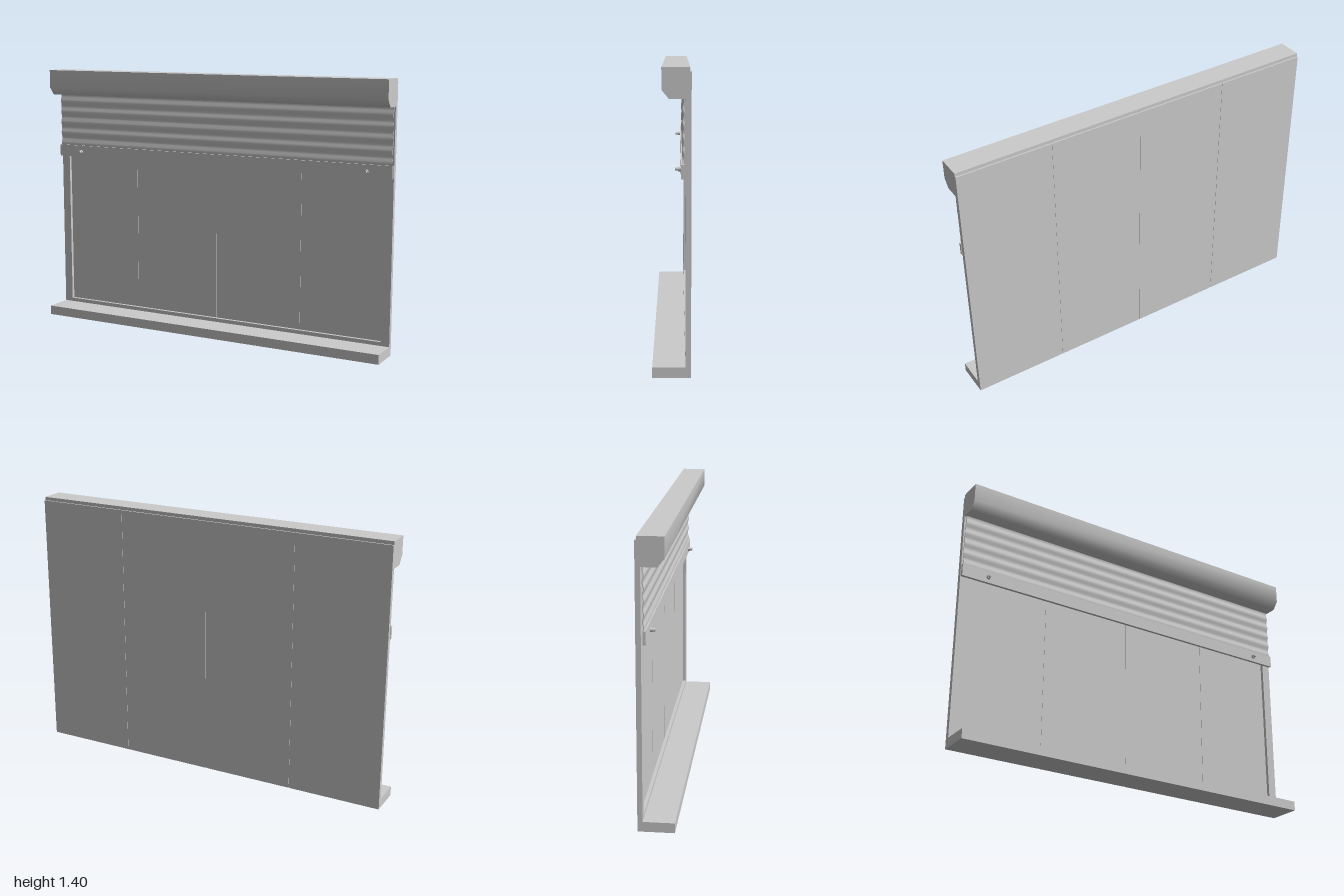
import * as THREE from 'three';
import { toCreasedNormals } from 'three/addons/utils/BufferGeometryUtils.js';

const material = new THREE.MeshStandardMaterial({ color: 0xcccccc });

export function createModel() {
  const model = new THREE.Group();
  model.name = 'shutteredWindow';

  const add = (name, geometry) => {
    const mesh = new THREE.Mesh(geometry, material);
    mesh.name = name;
    model.add(mesh);
    return mesh;
  };

  // Box given by its limits on each axis
  const box = (name, x0, x1, y0, y1, z0, z1) => {
    const mesh = add(name, new THREE.BoxGeometry(x1 - x0, y1 - y0, z1 - z0));
    mesh.position.set((x0 + x1) / 2, (y0 + y1) / 2, (z0 + z1) / 2);
    return mesh;
  };

  // Side profile of [z, y] points, swept along x
  const sweep = (name, points, width, crease) => {
    const shape = new THREE.Shape(points.map(([z, y]) => new THREE.Vector2(z, y)));
    const geometry = new THREE.ExtrudeGeometry(shape, { depth: width, bevelEnabled: false });
    geometry.translate(0, 0, -width / 2).rotateY(-Math.PI / 2);
    return add(name, toCreasedNormals(geometry, crease));
  };

  // Sill
  box('sill', -1, 1, 0, 0.05, -0.082, 0.088);

  // Four back panels with narrow joints
  for (let i = 0; i < 4; i++) {
    const x = -1 + i * 0.5;
    box('panel', x + (i ? 0.003 : 0), x + (i < 3 ? 0.497 : 0.5), 0, 1.385, -0.088, -0.08);
    if (i) box('jointStrip', x - 0.003, x + 0.003, 0, 1.385, -0.086, -0.082);
  }

  // Frame around the opening
  const frame = new THREE.Shape();
  frame.moveTo(-1, 0.05).lineTo(1, 0.05).lineTo(1, 1.27).lineTo(-1, 1.27).closePath();
  const opening = new THREE.Path();
  opening.moveTo(-0.953, 0.07).lineTo(-0.953, 1.25).lineTo(0.953, 1.25).lineTo(0.953, 0.07).closePath();
  frame.holes.push(opening);
  add('frame', new THREE.ExtrudeGeometry(frame, { depth: 0.017, bevelEnabled: false }))
    .position.z = -0.08;

  // Shutter housing with a softened lower front edge
  sweep('shutterHousing', [
    [-0.08, 1.265], [0.012, 1.265], [0.045, 1.305], [0.045, 1.403], [-0.08, 1.403],
  ], 2, 1.1);

  // Corrugated curtain
  const front = [], back = [];
  const steps = 40;
  for (let i = 0; i <= steps; i++) {
    const y = 0.97 + 0.3 * i / steps;
    const z = -0.053 + 0.003 * Math.sin(i / steps * Math.PI * 10);
    front.push([z + 0.002, y]);
    back.unshift([z - 0.002, y]);
  }
  sweep('curtain', [...front, ...back], 1.99, 1);

  // Bottom bar and its two stops
  box('bottomBar', -1, 1, 0.91, 0.975, -0.056, -0.041);
  for (const x of [-0.855, 0.865]) {
    for (const [name, radius, z0, z1] of [
      ['stopBase', 0.011, -0.042, -0.028],
      ['stopPin', 0.008, -0.028, -0.015],
    ]) {
      const geometry = new THREE.CylinderGeometry(radius, radius, z1 - z0, 20).rotateX(Math.PI / 2);
      add(name, geometry).position.set(x, 0.94, (z0 + z1) / 2);
    }
  }

  return model;
}
